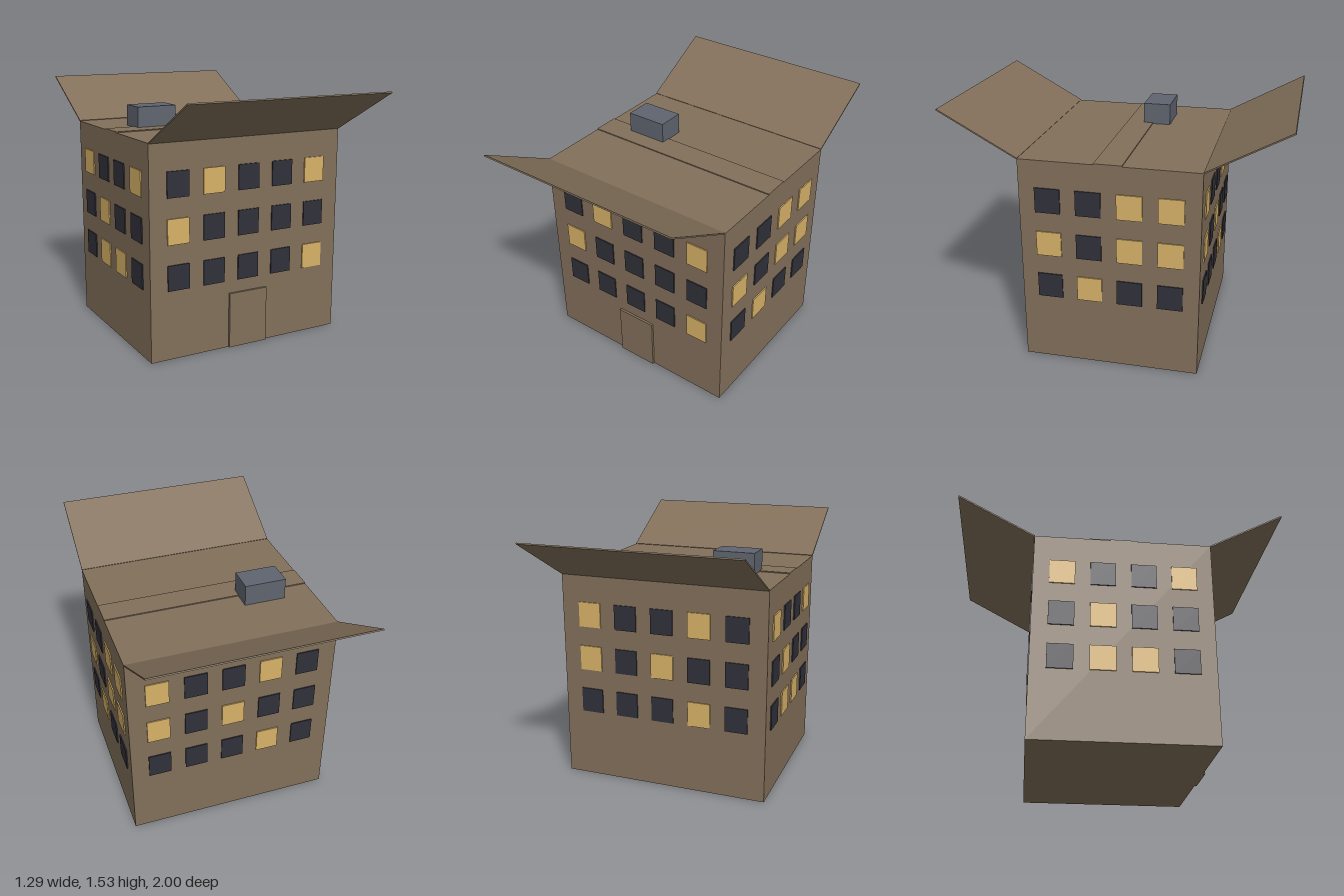
import * as THREE from 'three';

const W = 1.274, H = 1.275, D = 1.062;

function material(name, color) {
  const m = new THREE.MeshStandardMaterial({ color });
  m.name = name;
  return m;
}

export function createModel() {
  const model = new THREE.Group();
  model.name = 'cardboardBuilding';
  const cardboard = material('cardboard brown', 0x826f5a);
  const lit = material('lit window yellow', 0xd8b268);
  const dark = material('dark window', 0x30303a);
  const grey = material('roof unit grey', 0x5f646f);

  const box = (parent, name, mat, size, pos) => {
    const mesh = new THREE.Mesh(new THREE.BoxGeometry(...size), mat);
    mesh.name = name;
    mesh.position.set(...pos);
    parent.add(mesh);
    return mesh;
  };

  // Closed carton with a door, a strip along the top seam and a roof unit
  box(model, 'body', cardboard, [W, H, D], [0, H / 2, 0]);
  box(model, 'door', cardboard, [0.256, 0.34, 0.014], [0, 0.17, D / 2 + 0.007]);
  box(model, 'topSeamStrip', cardboard, [W, 0.006, 0.165], [0, H + 0.003, 0.003]);
  box(model, 'roofUnit', grey, [0.255, 0.13, 0.168], [-0.322, H + 0.065, -0.106]);

  // Open flaps hinged on the front and back top edges
  const run = 0.466, rise = 0.255;
  for (const side of [1, -1]) {
    const flap = box(model, side > 0 ? 'frontFlap' : 'backFlap', cardboard,
      [W, 0.008, Math.hypot(run, rise)],
      [0, H + rise / 2, side * (D / 2 + run / 2)]);
    flap.rotation.x = -side * Math.atan2(rise, run);
  }

  // Window rows from top to bottom, left to right as seen facing each wall (Y = lit)
  const walls = [
    { name: 'front', turn: 0, out: D / 2, step: 0.23, width: 0.138, rows: ['DYDDY', 'YDDDD', 'DDDDY'] },
    { name: 'left', turn: Math.PI / 2, out: W / 2, step: 0.24, width: 0.15, rows: ['DDYY', 'YDYY', 'DYDD'] },
    { name: 'back', turn: Math.PI, out: D / 2, step: 0.23, width: 0.138, rows: ['YDDYD', 'YDYDD', 'DDDYD'] },
    { name: 'right', turn: -Math.PI / 2, out: W / 2, step: 0.24, width: 0.15, rows: ['YDDY', 'DYDD', 'DYYD'] },
  ];
  for (const { name, turn, out, step, width, rows } of walls) {
    const wall = new THREE.Group();
    wall.name = name + 'Windows';
    wall.rotation.y = turn;
    rows.forEach((row, r) => [...row].forEach((c, i) => {
      box(wall, 'window', c === 'Y' ? lit : dark, [width, 0.151, 0.007],
        [(i - (row.length - 1) / 2) * step, 1.035 - r * 0.271, out + 0.0035]);
    }));
    model.add(wall);
  }
  return model;
}
